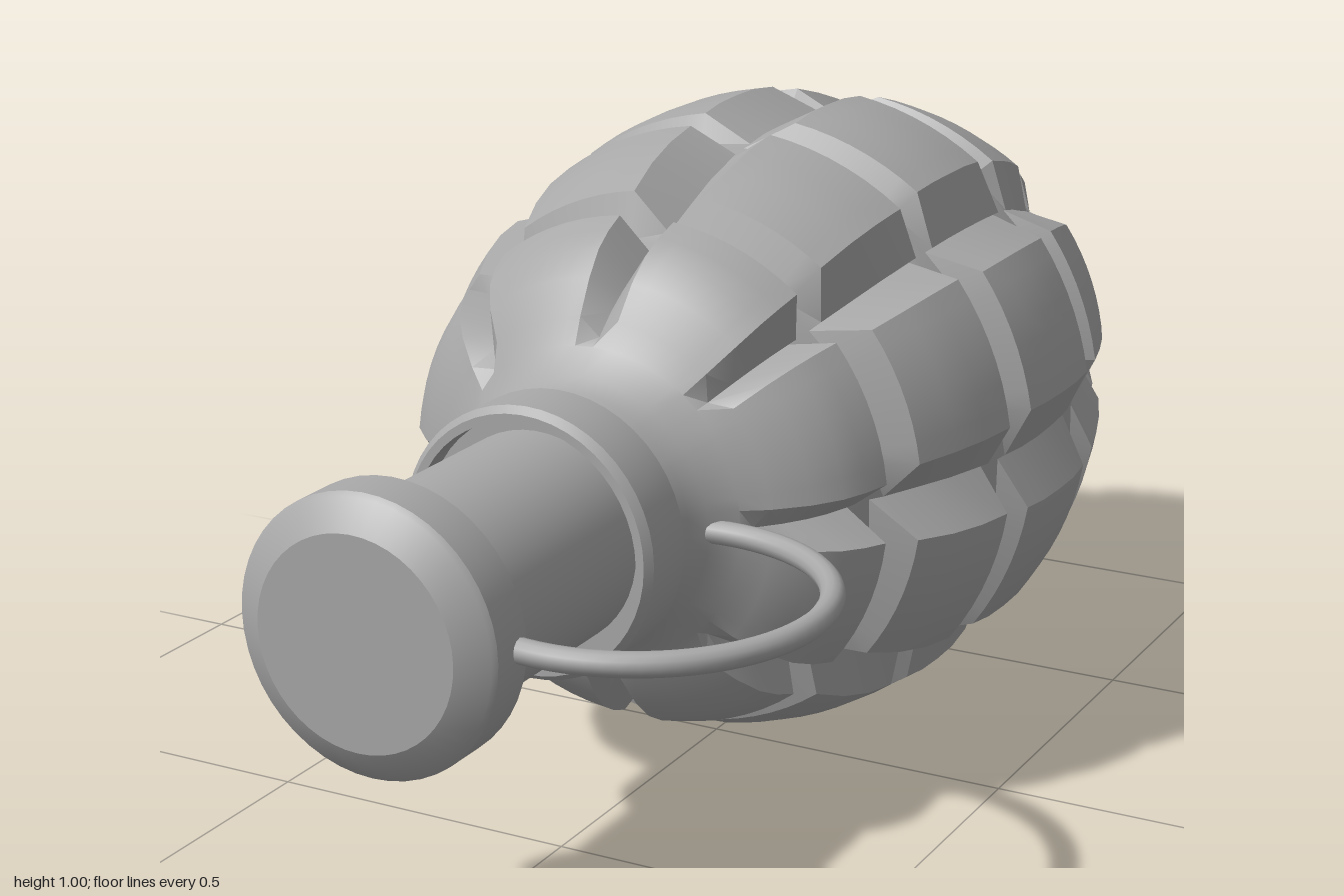
import * as THREE from 'three';
import { toCreasedNormals } from 'three/addons/utils/BufferGeometryUtils.js';

const metal = new THREE.MeshStandardMaterial({ color: 0xa8a8a8 });
metal.name = 'grey metal';

// Cross-sections of the segmented body, front to back:
// z, outer radius, radius at the bottom of the long grooves, groove half width
const SECTIONS = [
  [0.47, 0.185, 0.185, 0.03], [0.43, 0.195, 0.195, 0.03], [0.40, 0.21, 0.21, 0.03],
  [0.365, 0.245, 0.245, 0.03], [0.345, 0.285, 0.255, 0.032], [0.31, 0.335, 0.285, 0.036],
  [0.275, 0.37, 0.308, 0.04], [0.24, 0.39, 0.325, 0.043], [0.2, 0.405, 0.338, 0.046],
  [0.182, 0.347, 0.342, 0.046], [0.152, 0.357, 0.352, 0.055],           // ring groove
  [0.13, 0.428, 0.365, 0.06], [0.065, 0.458, 0.392, 0.065], [0, 0.478, 0.418, 0.068], [-0.07, 0.49, 0.438, 0.07],
  [-0.088, 0.45, 0.443, 0.072], [-0.116, 0.452, 0.447, 0.076],          // ring groove
  [-0.138, 0.498, 0.45, 0.08], [-0.19, 0.505, 0.457, 0.081], [-0.25, 0.507, 0.459, 0.081],
  [-0.31, 0.506, 0.457, 0.081], [-0.375, 0.498, 0.452, 0.08],
  [-0.405, 0.453, 0.448, 0.078], [-0.435, 0.45, 0.443, 0.076],          // ring groove
  [-0.457, 0.48, 0.436, 0.075], [-0.53, 0.46, 0.412, 0.072], [-0.6, 0.437, 0.385, 0.069], [-0.685, 0.403, 0.354, 0.065],
  [-0.703, 0.352, 0.347, 0.064], [-0.728, 0.344, 0.338, 0.062],         // ring groove
  [-0.748, 0.367, 0.33, 0.06], [-0.82, 0.33, 0.292, 0.052], [-0.88, 0.287, 0.255, 0.044], [-0.94, 0.236, 0.216, 0.034],
  [-1.0, 0.001, 0.001, 0.0001],
];

const LOBES = 8, STEPS = 7;

// One ring of points: eight arcs separated by V-shaped notches
function ringPoints([z, outer, floor, half]) {
  const pts = [], sector = Math.PI * 2 / LOBES, w = Math.asin(Math.min(0.2, half / outer));
  const add = (r, a) => pts.push(new THREE.Vector3(r * Math.cos(a), r * Math.sin(a), z));
  for (let k = 0; k < LOBES; k++) {
    add(floor, k * sector);
    for (let s = 0; s <= STEPS; s++) add(outer, k * sector + w + (sector - 2 * w) * s / STEPS);
  }
  return pts;
}

// Joins successive rings into a skin
function bodyGeometry() {
  const rings = SECTIONS.map(ringPoints), n = rings[0].length, pos = [];
  for (let i = 0; i < rings.length - 1; i++) {
    for (let j = 0; j < n; j++) {
      const k = (j + 1) % n;
      const a = rings[i][j], b = rings[i + 1][j], c = rings[i + 1][k], d = rings[i][k];
      for (const p of [a, b, d, b, c, d]) pos.push(p.x, p.y, p.z);
    }
  }
  const g = new THREE.BufferGeometry();
  g.setAttribute('position', new THREE.Float32BufferAttribute(pos, 3));
  return toCreasedNormals(g, 0.36);
}

// Turned part along z from [radius, z] points, back to front
function turned(points) {
  const g = new THREE.LatheGeometry(points.map(([r, z]) => new THREE.Vector2(r, z)), 48);
  g.rotateX(Math.PI / 2);
  return toCreasedNormals(g, 0.4);
}

export function createModel() {
  const model = new THREE.Group();
  model.name = 'segmentedCanister';
  const axis = new THREE.Group();
  axis.name = 'mainAxis';
  axis.position.set(-0.013, 0.505, 0);
  model.add(axis);
  const add = (name, geometry) => {
    const m = new THREE.Mesh(geometry, metal);
    m.name = name;
    axis.add(m);
    return m;
  };

  add('segmentedBody', bodyGeometry());

  // Collar with a shallow recess around the neck
  add('collar', turned([[0.17, 0.455], [0.195, 0.455], [0.208, 0.468], [0.208, 0.558],
    [0.198, 0.57], [0.185, 0.57], [0.185, 0.53], [0.15, 0.53]]));
  add('neck', turned([[0.163, 0.45], [0.163, 0.9]]));
  add('endCap', turned([[0.15, 0.885], [0.19, 0.885], [0.204, 0.897], [0.204, 0.968],
    [0.198, 0.975], [0.155, 1.0], [0.0, 1.0]]));

  // Pull ring, a little over half a circle, running from the cap to the body
  const extra = 0.2;
  const ring = new THREE.TorusGeometry(0.265, 0.018, 12, 40, Math.PI + extra * 2);
  ring.rotateZ(-Math.PI / 2 - extra);
  ring.rotateX(Math.PI / 2);
  add('pullRing', ring).position.set(0.238, 0, 0.65);

  return model;
}
